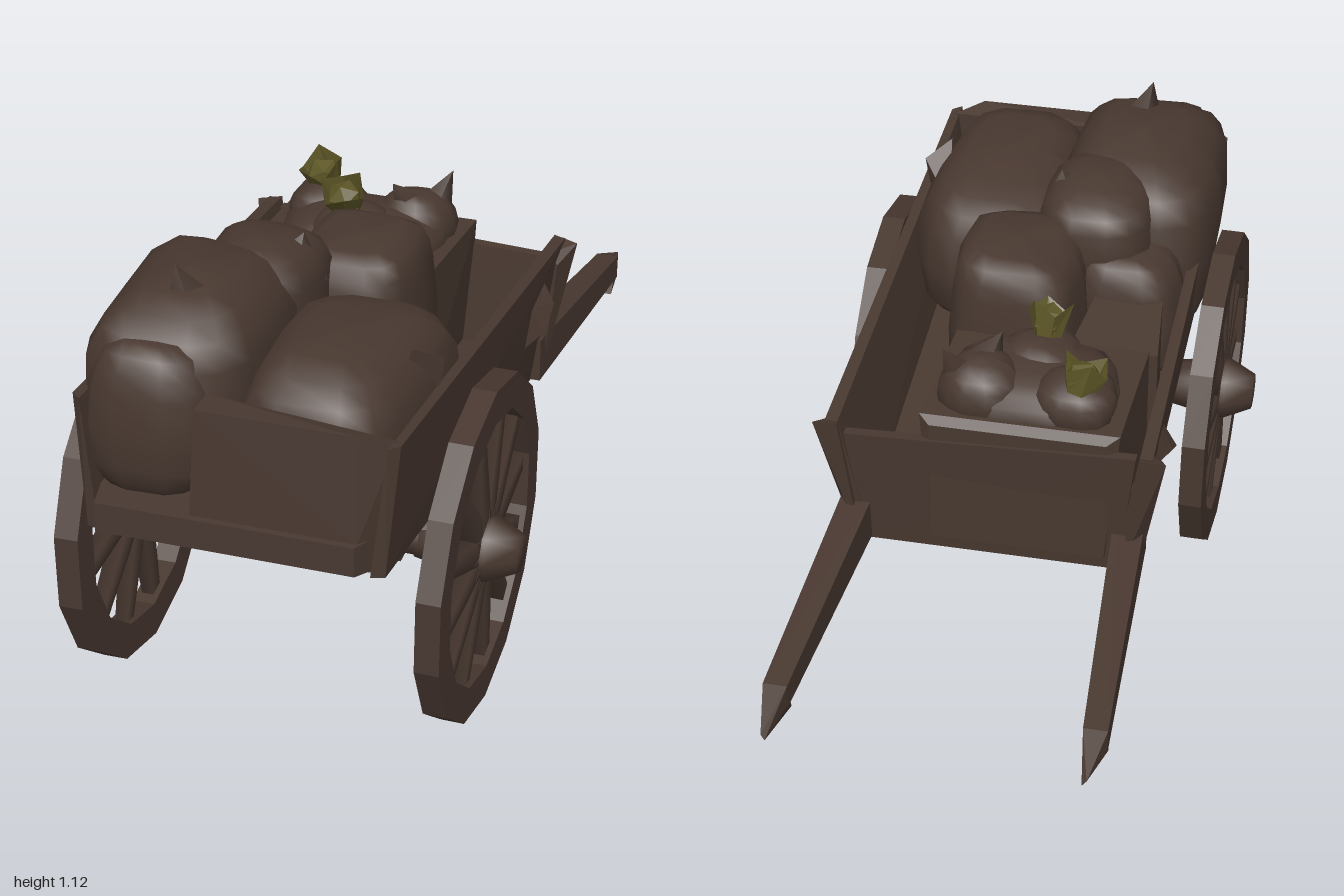
import * as THREE from 'three';
import { ConvexGeometry } from 'three/addons/geometries/ConvexGeometry.js';

const wood = new THREE.MeshStandardMaterial({ color: 0x483830 });
wood.name = 'darkBrown';
const leaf = new THREE.MeshStandardMaterial({ color: 0x5c5526, side: THREE.DoubleSide });
leaf.name = 'olive';

function add(parent, name, geometry, material = wood) {
  const mesh = new THREE.Mesh(geometry, material);
  mesh.name = name;
  parent.add(mesh);
  return mesh;
}

// Solid board from its corner points; side = -1 mirrors it across x
function board(parent, name, corners, side = 1) {
  const pts = corners.map(([x, y, z]) => new THREE.Vector3(x * side, y, z));
  return add(parent, name, new ConvexGeometry(pts));
}

// Rectangular section at a given z, for boards running front to back
const section = (x0, x1, y0, y1, z) => [[x0, y0, z], [x1, y0, z], [x0, y1, z], [x1, y1, z]];

// Soft sack: a squared-off sphere with gentle dents
function sack(parent, name, [x, y, z], [rx, ry, rz], phase, power = 0.65) {
  const g = new THREE.SphereGeometry(1, 14, 10);
  const p = g.attributes.position;
  const square = (v) => Math.sign(v) * Math.abs(v) ** power;
  for (let i = 0; i < p.count; i++) {
    const a = p.getX(i), b = p.getY(i), c = p.getZ(i);
    const dent = 0.97 + 0.05 * Math.sin(3 * a + phase) * Math.cos(4 * c - phase) + 0.03 * Math.sin(5 * b + phase);
    p.setXYZ(i, square(a) * rx * dent, square(b) * ry * dent, square(c) * rz * dent);
  }
  g.computeVertexNormals();
  const mesh = add(parent, name, g);
  mesh.position.set(x, y, z);
}

// Folded, pointed corner of a sack
function sackEar(parent, [x, y, z], r, h, tilt) {
  const m = add(parent, 'sackEar', new THREE.ConeGeometry(r, h, 4));
  m.position.set(x, y, z);
  m.rotation.set(tilt * 0.5, 0.4, tilt);
  m.scale.z = 0.6;
}

function makeWheel(side) {
  const wheel = new THREE.Group();
  wheel.name = side > 0 ? 'leftWheel' : 'rightWheel';
  // Faceted rim
  const ring = (Path, r) => new Path().setFromPoints(Array.from({ length: 14 }, (_, i) => {
    const a = (i + 0.5) / 14 * Math.PI * 2;
    return new THREE.Vector2(Math.cos(a) * r, Math.sin(a) * r);
  }));
  const shape = ring(THREE.Shape, 0.4);
  shape.holes.push(ring(THREE.Path, 0.318));
  const rim = new THREE.ExtrudeGeometry(shape, { depth: 0.056, bevelEnabled: false });
  rim.translate(0, 0, -0.028);
  rim.rotateY(Math.PI / 2);
  add(wheel, 'rim', rim);
  // Broad flat spokes, widest at the hub
  for (let i = 0; i < 12; i++) {
    const g = new THREE.CylinderGeometry(0.028, 0.044, 0.31, 4);
    g.rotateY(Math.PI / 4);
    g.scale(0.7, 1, 1);
    g.translate(0, 0.185, 0);
    g.rotateX((i + 0.3) / 12 * Math.PI * 2);
    add(wheel, 'spoke', g);
  }
  // Hub: long taper inwards, short cap outwards
  const profile = [[0, -0.14], [0.05, -0.14], [0.07, -0.03], [0.078, 0.03], [0.045, 0.098], [0, 0.1]];
  const hub = new THREE.LatheGeometry(profile.map(([r, h]) => new THREE.Vector2(r, h)), 8);
  hub.rotateZ(-side * Math.PI / 2);
  add(wheel, 'hub', hub);
  wheel.position.set(side * 0.412, 0.398, 0.52);
  wheel.rotation.z = -side * 0.015;
  return wheel;
}

// Jagged sprig of leaves
function sprig(parent, [x, y, z], size, turn) {
  const group = new THREE.Group();
  group.name = 'leafySprig';
  const cone = new THREE.CylinderGeometry(size, size * 0.6, size * 1.3, 6, 1, true);
  const p = cone.attributes.position;
  for (let k = 0; k < p.count; k++) {
    if (p.getY(k) > 0) p.setY(k, size * (k % 7 % 6 % 2 ? 0.9 : 0.3));
  }
  const jagged = cone.toNonIndexed();
  jagged.computeVertexNormals();
  add(group, 'leaves', jagged, leaf).rotation.set(0.25, turn, 0.2);
  const heart = add(group, 'leafHeart', new THREE.IcosahedronGeometry(size * 0.8, 0), leaf);
  heart.rotation.y = turn;
  group.position.set(x, y, z);
  parent.add(group);
}

export function createModel() {
  const cart = new THREE.Group();
  cart.name = 'handCart';

  // Bed and end boards
  const bed = new THREE.Group();
  bed.name = 'bed';
  cart.add(bed);
  board(bed, 'floor', [...section(-0.31, 0.31, 0.57, 0.62, 0.95), ...section(-0.31, 0.31, 0.43, 0.48, -0.28)]);
  board(bed, 'frontLedge', [
    ...section(-0.3, 0.28, 0.585, 0.655, 1.0), ...section(-0.32, 0.33, 0.57, 0.66, 0.9)]);
  board(bed, 'frontBoard', [
    [-0.09, 0.65, 0.985], [0.28, 0.65, 0.985], [-0.08, 0.9, 0.965], [0.28, 0.9, 0.965],
    [-0.09, 0.65, 0.9], [0.33, 0.65, 0.92], [-0.08, 0.9, 0.89], [0.35, 0.88, 0.92]]);
  board(bed, 'backBoard', [
    [-0.3, 0.42, -0.28], [0.3, 0.42, -0.28], [-0.34, 0.76, -0.305], [0.34, 0.73, -0.3],
    [-0.3, 0.42, -0.25], [0.3, 0.42, -0.25], [-0.34, 0.76, -0.28], [0.34, 0.73, -0.275]]);

  for (const side of [1, -1]) {
    // Slanted side panel
    board(bed, 'sidePanel', [
      [0.305, 0.57, 0.97], [0.335, 0.57, 0.96], [0.34, 0.88, 0.96], [0.362, 0.88, 0.94],
      [0.29, 0.42, -0.28], [0.33, 0.42, -0.28], [0.35, 0.77, -0.31], [0.38, 0.77, -0.31],
      [0.335, 0.46, 0.1]], side);
    // Rear corner post and side bracket
    board(bed, 'cornerPost', [
      [0.31, 0.43, -0.27], [0.35, 0.43, -0.24], [0.35, 0.77, -0.32], [0.41, 0.76, -0.31],
      [0.35, 0.75, -0.25], [0.38, 0.73, -0.24], [0.31, 0.43, -0.3]], side);
    board(bed, 'sideBracket', [
      [0.34, 0.58, -0.05], [0.34, 0.6, -0.15], [0.36, 0.74, -0.16], [0.36, 0.7, -0.06],
      [0.4, 0.64, -0.07], [0.4, 0.68, -0.14]], side);
    // Pulling shaft with a hooked, pointed end
    board(cart, 'shaft', [
      ...section(0.28, 0.355, 0.43, 0.54, -0.2), ...section(0.33, 0.385, 0.395, 0.455, -0.87)], side);
    board(cart, 'shaftTip', [
      ...section(0.33, 0.385, 0.4, 0.455, -0.87), [0.335, 0.362, -0.83], [0.38, 0.362, -0.83],
      [0.35, 0.4, -0.99], [0.36, 0.41, -0.985]], side);
    // Beam between bed and axle, flared at its ends
    board(cart, 'underBeam', [
      ...section(0.165, 0.245, 0.355, 0.4, 0.57), ...section(0.165, 0.245, 0.36, 0.4, 0.46),
      ...section(0.16, 0.23, 0.55, 0.6, 0.6), ...section(0.17, 0.23, 0.5, 0.55, 0.42)], side);
    cart.add(makeWheel(side));
  }

  // Axle
  const axle = new THREE.CylinderGeometry(0.05, 0.05, 0.8, 8);
  axle.rotateZ(Math.PI / 2);
  add(cart, 'axle', axle).position.set(0, 0.405, 0.52);

  // Sacks
  const load = new THREE.Group();
  load.name = 'load';
  cart.add(load);
  sack(load, 'tallSack', [-0.195, 0.82, 0.64], [0.205, 0.255, 0.29], 0.6, 0.6);
  sack(load, 'frontSack', [-0.21, 0.81, 0.83], [0.155, 0.19, 0.14], 2.1);
  sack(load, 'wideSack', [0.145, 0.76, 0.64], [0.205, 0.215, 0.31], 1.7, 0.6);
  sack(load, 'middleSack', [0.03, 0.78, 0.22], [0.165, 0.205, 0.185], 3.0, 0.5);
  sack(load, 'topSack', [-0.12, 0.91, 0.43], [0.15, 0.14, 0.18], 4.2, 0.75);
  sack(load, 'lowSack', [-0.21, 0.74, 0.34], [0.14, 0.18, 0.13], 2.6, 0.6);
  sackEar(load, [-0.18, 1.07, 0.75], 0.06, 0.11, 0.25);
  sackEar(load, [-0.04, 1.01, 0.42], 0.08, 0.1, -0.2);
  // Folded flap at the edge of the wide sack
  board(load, 'sackFlap', [
    [0.26, 0.82, 0.68], [0.34, 0.81, 0.62], [0.3, 0.955, 0.67], [0.358, 0.92, 0.62], [0.28, 0.84, 0.54]]);
  board(load, 'looseBoard', [...section(-0.31, -0.15, 0.6, 0.83, 0.24), ...section(-0.33, -0.12, 0.58, 0.8, 0.05)]);

  // Crate with its heaped contents
  board(load, 'crate', [...section(-0.31, 0.15, 0.5, 0.81, 0.05), ...section(-0.27, 0.14, 0.46, 0.78, -0.295),
    [-0.3, 0.8, -0.28], [0.165, 0.8, -0.28]]);
  sack(load, 'heap', [-0.07, 0.79, -0.12], [0.21, 0.095, 0.155], 1.1, 0.75);
  sack(load, 'produce', [-0.18, 0.82, -0.19], [0.1, 0.08, 0.09], 0.4, 0.85);
  sack(load, 'produce', [0.04, 0.82, -0.18], [0.1, 0.09, 0.09], 1.9, 0.85);
  sack(load, 'produce', [-0.08, 0.82, -0.07], [0.11, 0.08, 0.1], 3.2, 0.85);
  sackEar(load, [0.1, 0.9, -0.21], 0.05, 0.11, -0.4);
  sackEar(load, [0.02, 0.91, -0.14], 0.05, 0.08, 0.5);
  sprig(load, [-0.2, 0.9, -0.21], 0.056, 0.3);
  sprig(load, [-0.09, 0.93, -0.04], 0.054, 1.4);

  return cart;
}
